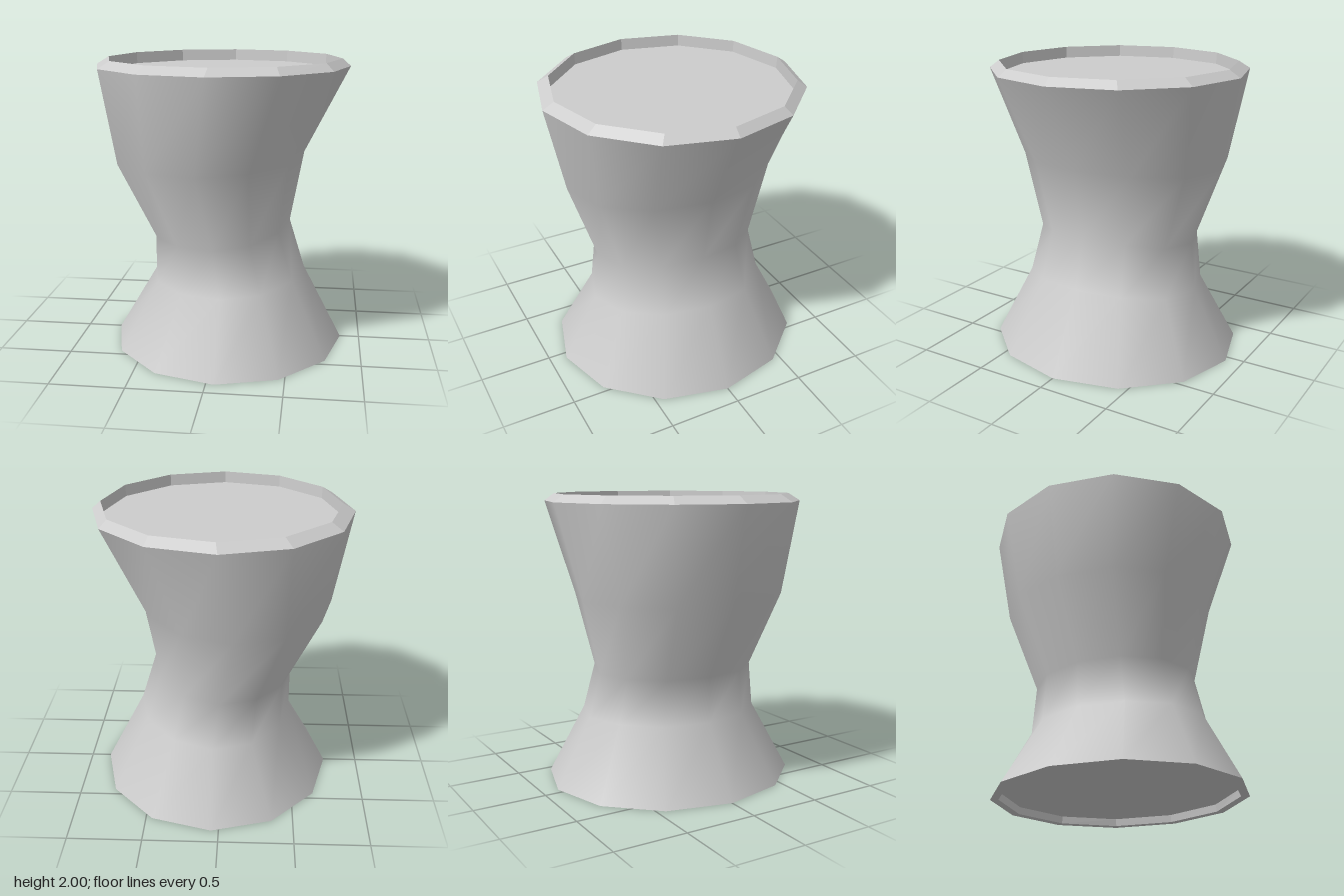
import * as THREE from 'three';

const SIDES = 12;

// Ring: [y, centre x, radius x, radius z, extra height on the +x side]
const bottomCentre = [0.05, 0.05, 0, 0, 0];
const bottomRecess = [0.05, 0.05, 0.75, 0.82, 0];
const footInner = [0, 0.05, 0.76, 0.825, 0];
const footOuter = [0, 0.052, 0.813, 0.885, 0];
const lowWaist = [0.475, 0.055, 0.535, 0.635, 0.055];
const highWaist = [0.79, 0.002, 0.483, 0.577, 0.08];
const shoulder = [1.31, -0.087, 0.663, 0.735, 0.05];
const rimOuter = [1.95, 0, 0.875, 0.885, 0];
const rimCrest = [2, 0.013, 0.805, 0.812, 0];
const seatEdge = [1.92, 0.013, 0.8, 0.807, 0];
const seatCentre = [1.92, 0.013, 0, 0, 0];

// Skin a list of rings; flat gives every face its own normals
function loft(rings, flat) {
  const positions = [];
  const index = [];
  for (const [y, cx, rx, rz, lift] of rings) {
    for (let j = 0; j < SIDES; j++) {
      const t = (j / SIDES) * Math.PI * 2;
      const c = Math.cos(t);
      positions.push(cx + rx * c, y + lift * Math.max(0, c) ** 2, rz * Math.sin(t));
    }
  }
  for (let i = 0; i < rings.length - 1; i++) {
    for (let j = 0; j < SIDES; j++) {
      const a = i * SIDES + j;
      const b = i * SIDES + ((j + 1) % SIDES);
      const c = a + SIDES;
      const d = b + SIDES;
      if (rings[i][2] > 0) index.push(a, c, b);
      if (rings[i + 1][2] > 0) index.push(b, c, d);
    }
  }
  // A strip that closes to a centre still needs one triangle per side
  let geometry = new THREE.BufferGeometry();
  geometry.setAttribute('position', new THREE.Float32BufferAttribute(positions, 3));
  geometry.setIndex(index);
  if (flat) geometry = geometry.toNonIndexed();
  geometry.computeVertexNormals();
  return geometry;
}

export function createModel() {
  const group = new THREE.Group();
  group.name = 'stool';
  const grey = new THREE.MeshStandardMaterial({ color: 0xcccccc });
  grey.name = 'light grey';

  const add = (name, rings, flat = true) => {
    const mesh = new THREE.Mesh(loft(rings, flat), grey);
    mesh.name = name;
    group.add(mesh);
  };

  // Smooth, slightly lopsided hourglass side
  add('body', [footOuter, lowWaist, highWaist, shoulder, rimOuter], false);

  // Bevelled top rim around a sunken seat
  add('rimBevel', [rimOuter, rimCrest]);
  add('rimInnerWall', [rimCrest, seatEdge]);
  add('seat', [seatEdge, seatCentre]);

  // Narrow foot ring around a recessed underside
  add('footRing', [footInner, footOuter]);
  add('footInnerWall', [bottomRecess, footInner]);
  add('underside', [bottomCentre, bottomRecess]);

  return group;
}
